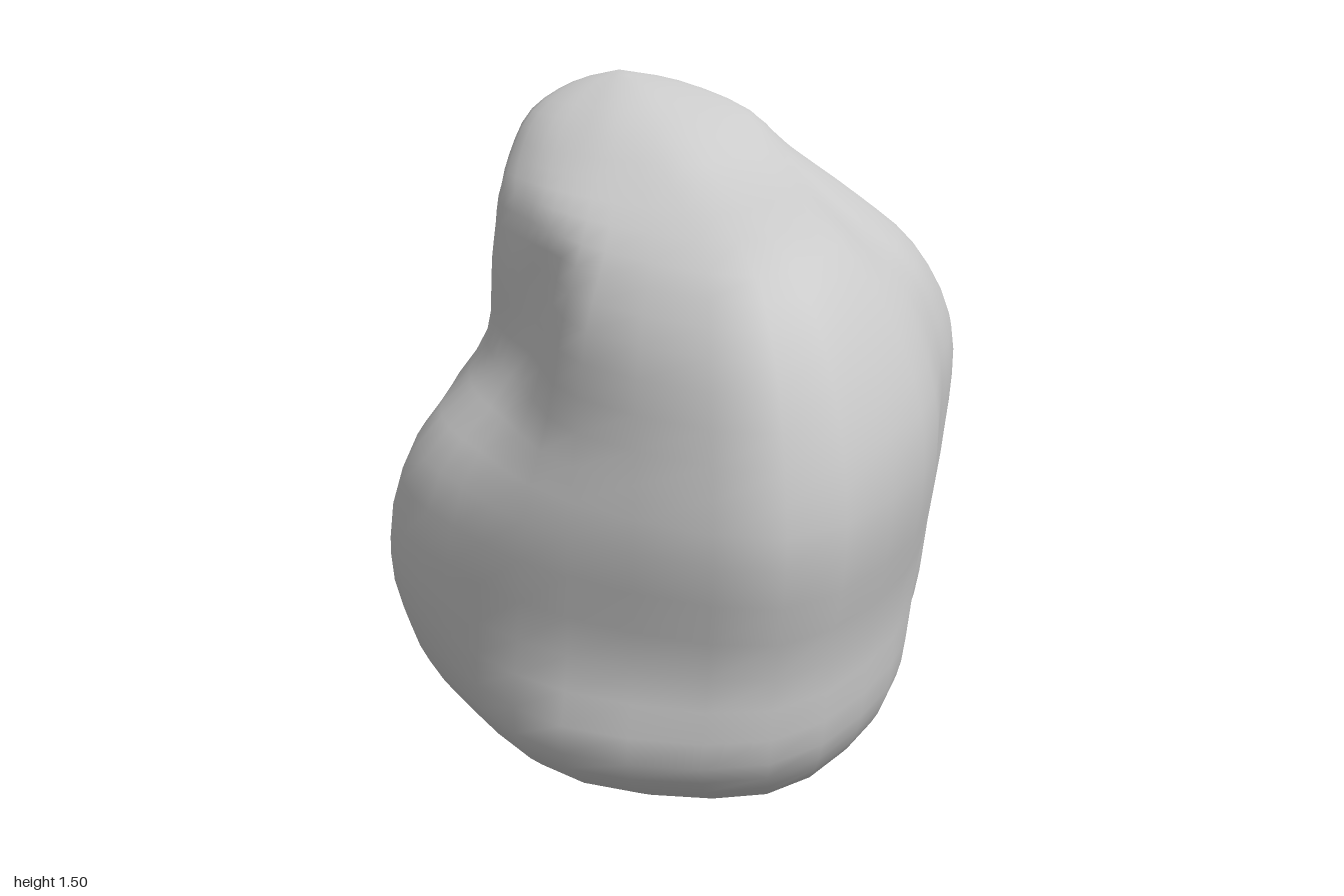
import * as THREE from 'three';
import { mergeVertices } from 'three/addons/utils/BufferGeometryUtils.js';

const COLS = 36, ROWS = 36;

// Directions of the boulder's vertical ribs in degrees, from +x towards +z
const RIBS = [0, 37, 66, 92, 120, 150, 180, 215, 241, 268, 316, 340];

// One level of the boulder: a radius for each rib, resampled smoothly
function ring(y, radii, cx = 0, cz = 0) {
  const pts = radii.map((r, i) => {
    const a = THREE.MathUtils.degToRad(RIBS[i]);
    return new THREE.Vector3(cx + r * Math.cos(a), y, cz + r * Math.sin(a));
  });
  const curve = new THREE.CatmullRomCurve3(pts, true);
  return Array.from({ length: COLS }, (_, i) => curve.getPoint(i / COLS));
}

// A level drawn in towards a point, for the rounded foot and the tip
const shrink = (level, scale, to) =>
  level.map((p) => new THREE.Vector3().lerpVectors(to, p, scale).setY(to.y));

// Skin the levels with smooth vertical curves that meet at a bottom and a top pole
function skin(bottom, levels, top) {
  const pos = [], index = [];
  for (let c = 0; c < COLS; c++) {
    const column = new THREE.CatmullRomCurve3([bottom, ...levels.map((l) => l[c]), top]);
    for (let r = 0; r <= ROWS; r++) pos.push(...column.getPoint(r / ROWS).toArray());
  }
  const id = (c, r) => (c % COLS) * (ROWS + 1) + r;
  for (let c = 0; c < COLS; c++) {
    for (let r = 0; r < ROWS; r++) {
      const a = id(c, r), b = id(c, r + 1), d = id(c + 1, r), e = id(c + 1, r + 1);
      if (r > 0) index.push(a, b, d);
      if (r < ROWS - 1) index.push(d, b, e);
    }
  }
  let geo = new THREE.BufferGeometry();
  geo.setAttribute('position', new THREE.Float32BufferAttribute(pos, 3));
  geo.setIndex(index);
  geo = mergeVertices(geo, 1e-4);
  geo.computeVertexNormals();
  return geo;
}

export function createModel() {
  const group = new THREE.Group();
  group.name = 'rock';

  // low bulge on the right side
  const base = ring(0.2, [0.61, 0.76, 0.99, 0.94, 0.73, 0.65, 0.6, 0.72, 0.8, 0.81, 0.73, 0.65]);
  const crown = ring(1.4, [0.28, 0.25, 0.26, 0.24, 0.22, 0.24, 0.28, 0.28, 0.26, 0.25, 0.27, 0.28], -0.12, -0.25);

  const levels = [
    // flat underside and rounded foot
    shrink(base, 0.7, new THREE.Vector3(0.27, 0.025, 0)),
    shrink(base, 0.9, new THREE.Vector3(0.2, 0.09, 0)),
    base,
    ring(0.4, [0.64, 0.78, 1.02, 0.89, 0.75, 0.7, 0.68, 0.8, 0.88, 0.88, 0.79, 0.68]),
    // widest level, with the pointed back
    ring(0.66, [0.67, 0.84, 1.09, 0.88, 0.69, 0.63, 0.6, 0.75, 0.9, 1.0, 0.86, 0.72]),
    // hollow above the bulge
    ring(0.86, [0.67, 0.83, 1.07, 0.8, 0.5, 0.43, 0.46, 0.61, 0.77, 0.86, 0.85, 0.72]),
    // front shoulder narrowing to the ridge
    ring(1.06, [0.59, 0.73, 0.99, 0.72, 0.43, 0.4, 0.44, 0.57, 0.66, 0.71, 0.72, 0.63]),
    ring(1.2, [0.42, 0.58, 0.84, 0.56, 0.4, 0.36, 0.42, 0.56, 0.59, 0.61, 0.55, 0.46]),
    // summit
    ring(1.3, [0.33, 0.37, 0.48, 0.37, 0.32, 0.32, 0.37, 0.41, 0.41, 0.42, 0.4, 0.36], -0.06, -0.14),
    crown,
    shrink(crown, 0.5, new THREE.Vector3(-0.21, 1.465, -0.38)),
  ];

  const rock = new THREE.Mesh(
    skin(new THREE.Vector3(0.22, 0, -0.15), levels, new THREE.Vector3(-0.19, 1.495, -0.33)),
    new THREE.MeshStandardMaterial({ color: 0xcccccc })
  );
  rock.name = 'boulder';
  group.add(rock);
  return group;
}
